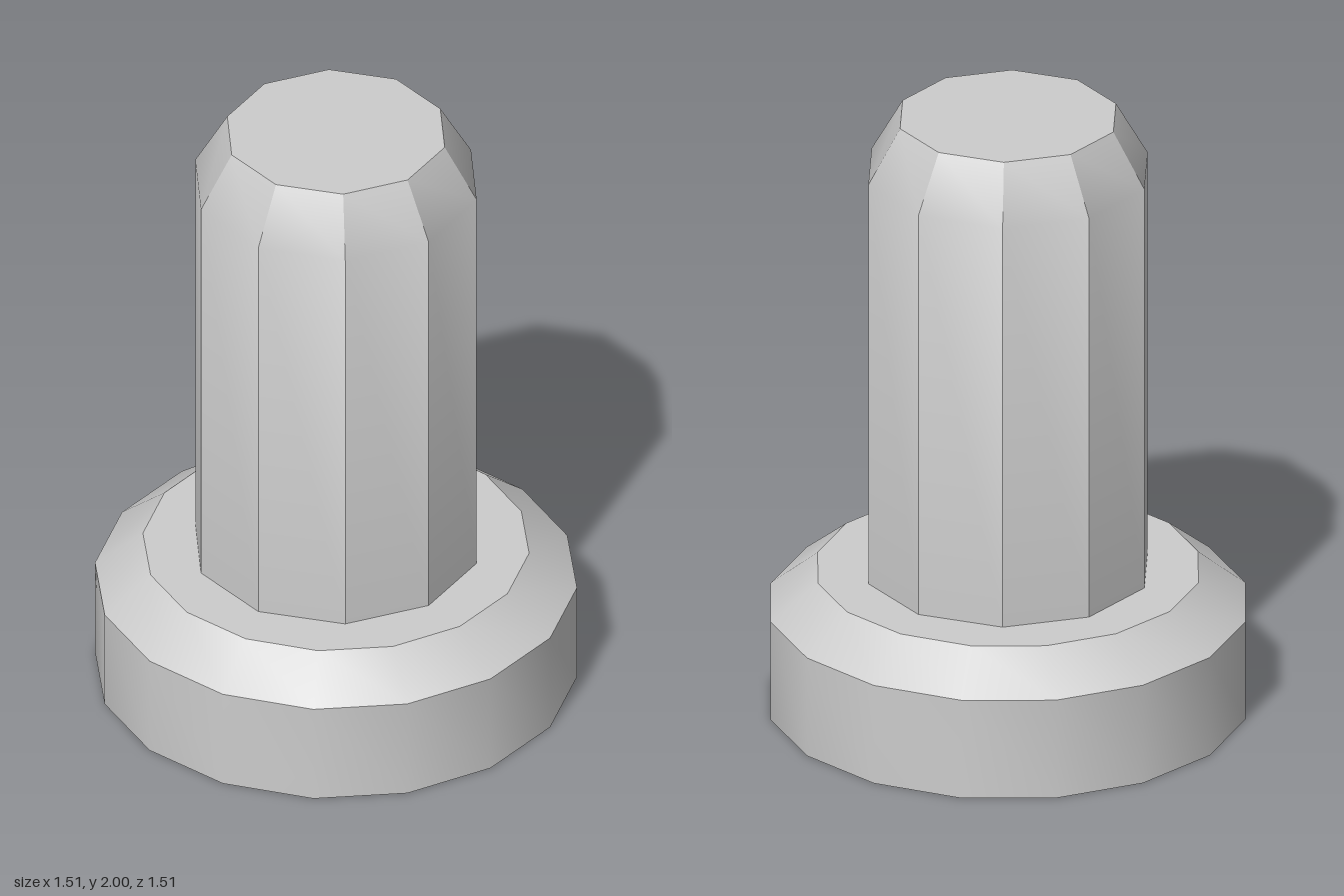
import * as THREE from 'three';
import { toCreasedNormals } from 'three/addons/utils/BufferGeometryUtils.js';

// Turn a [radius, height] profile, listed from bottom to top, into a faceted solid.
function turned(profile, sides, start = 0) {
  const points = profile.map(([r, y]) => new THREE.Vector2(r, y));
  const geometry = new THREE.LatheGeometry(points, sides, start);
  return toCreasedNormals(geometry, THREE.MathUtils.degToRad(30));
}

export function createModel() {
  const group = new THREE.Group();
  group.name = 'pin';

  const grey = new THREE.MeshStandardMaterial({ color: 0xcccccc });
  grey.name = 'grey';

  // Wide foot with a chamfered upper rim
  const base = new THREE.Mesh(
    turned([[0, 0], [0.755, 0], [0.755, 0.335], [0.605, 0.455], [0, 0.455]], 16),
    grey
  );
  base.name = 'base';

  // Ten-sided shaft with a chamfered tip, corners on the x axis
  const shaft = new THREE.Mesh(
    turned([[0.453, 0.45], [0.453, 1.82], [0.35, 2], [0, 2]], 10, Math.PI / 2),
    grey
  );
  shaft.name = 'shaft';

  group.add(base, shaft);
  return group;
}
